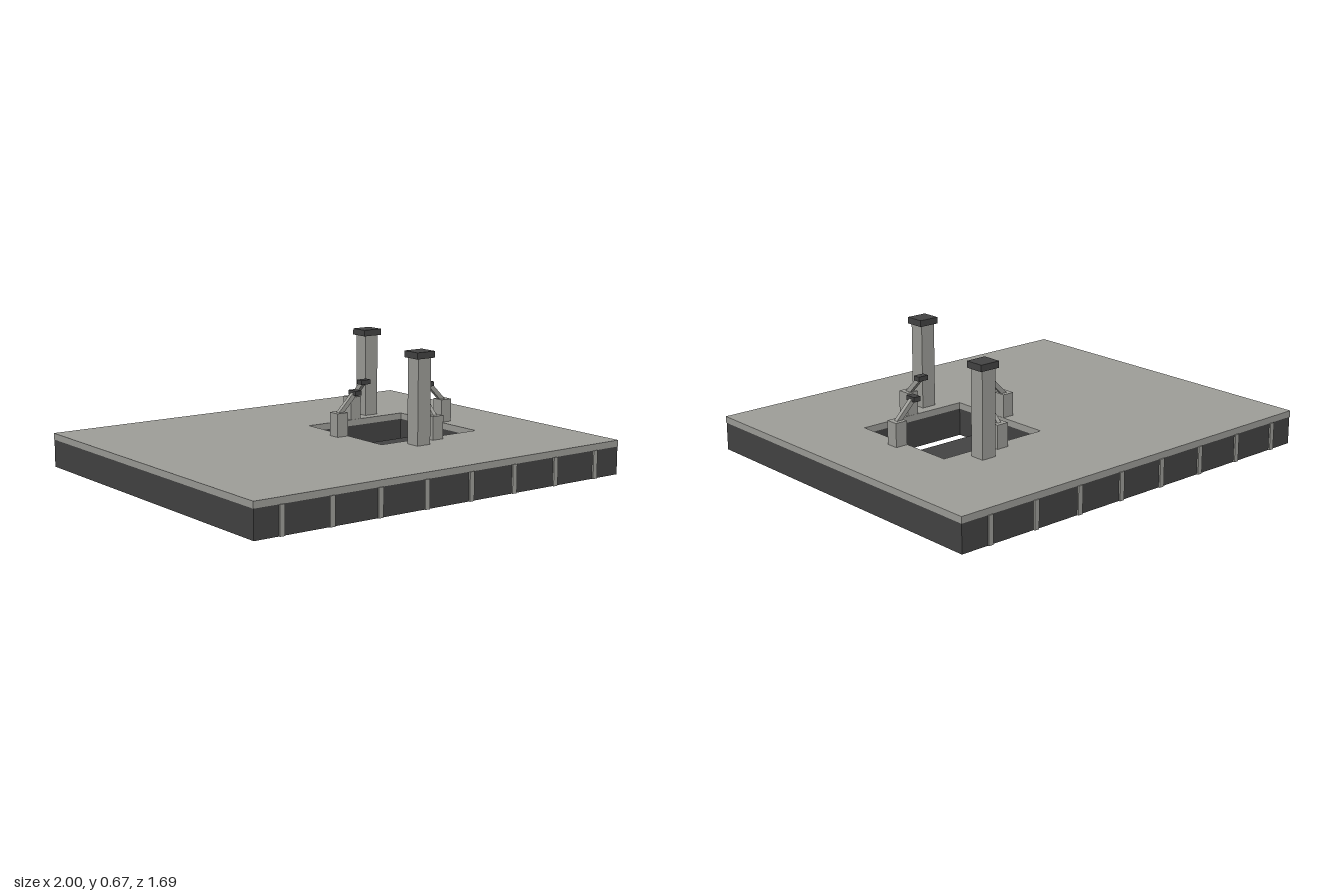
import * as THREE from 'three';

const HOLE_X = 0.345; // centre of the exhaust opening
const DECK_TOP = 0.26;

const light = new THREE.MeshStandardMaterial({ color: 0x9f9f9a, flatShading: true });
const dark = new THREE.MeshStandardMaterial({ color: 0x444444, flatShading: true });

function add(parent, name, geometry, material, x = 0, y = 0, z = 0) {
  const mesh = new THREE.Mesh(geometry, material);
  mesh.name = name;
  mesh.position.set(x, y, z);
  parent.add(mesh);
  return mesh;
}

function box(parent, name, material, [w, h, d], [x, y, z]) {
  return add(parent, name, new THREE.BoxGeometry(w, h, d), material, x, y, z);
}

function rectangle(path, cx, hw, hd) {
  path.moveTo(cx - hw, -hd);
  path.lineTo(cx + hw, -hd);
  path.lineTo(cx + hw, hd);
  path.lineTo(cx - hw, hd);
  path.closePath();
  return path;
}

// Rectangular deck layer pierced by the exhaust opening
function deckLayer(hw, hd, height) {
  const shape = rectangle(new THREE.Shape(), 0, hw, hd);
  shape.holes.push(rectangle(new THREE.Path(), HOLE_X, 0.28, 0.28));
  return new THREE.ExtrudeGeometry(shape, { depth: height, bevelEnabled: false }).rotateX(-Math.PI / 2);
}

// Hold-down clamp, built pointing along -x towards the opening centre
function createClamp(angle) {
  const clamp = new THREE.Group();
  clamp.name = 'holdDownClamp';
  box(clamp, 'clampBase', light, [0.06, 0.11, 0.06], [0.311, DECK_TOP + 0.055, 0]);
  const from = new THREE.Vector2(0.311, 0.362);
  const to = new THREE.Vector2(0.218, 0.455);
  const arm = box(clamp, 'clampArm', light, [from.distanceTo(to), 0.022, 0.02],
    [(from.x + to.x) / 2, (from.y + to.y) / 2, 0]);
  arm.rotation.z = Math.atan2(to.y - from.y, to.x - from.x);
  box(clamp, 'clampPad', dark, [0.035, 0.022, 0.053], [0.218, 0.453, 0]);
  clamp.position.x = HOLE_X;
  clamp.rotation.y = angle;
  return clamp;
}

// Square mast with an overhanging cap
function createMast(x, z) {
  const mast = new THREE.Group();
  mast.name = 'mast';
  box(mast, 'mastColumn', light, [0.073, 0.395, 0.073], [0, 0.1975, 0]);
  box(mast, 'mastCap', dark, [0.1, 0.03, 0.092], [0, 0.41, 0]);
  mast.position.set(x, DECK_TOP, z);
  return mast;
}

export function createModel() {
  const model = new THREE.Group();
  model.name = 'launchPad';

  // Deck: dark body under a light slab
  add(model, 'deckBody', deckLayer(0.998, 0.836, 0.13), dark, 0, 0.1, 0);
  add(model, 'deckSlab', deckLayer(1, 0.838, 0.03), light, 0, 0.23, 0);

  // Ribs along the front and back walls
  for (let i = 0; i < 8; i++) {
    for (const side of [1, -1]) {
      box(model, 'wallRib', light, [0.024, 0.13, 0.02], [-0.867 + i * 0.2455, 0.165, side * 0.8335]);
    }
  }

  // Ridged exhaust deflector below the opening
  const profile = new THREE.Shape();
  profile.moveTo(-0.27, 0.018);
  profile.lineTo(0.27, 0.018);
  profile.lineTo(0, 0.205);
  profile.closePath();
  const wedge = new THREE.ExtrudeGeometry(profile, { depth: 0.547, bevelEnabled: false });
  wedge.translate(0, 0, -0.2735).rotateY(Math.PI / 2);
  add(model, 'exhaustDeflector', wedge, dark, HOLE_X, 0, 0);

  // Four clamps around the opening and two masts at opposite corners
  for (let i = 0; i < 4; i++) model.add(createClamp((i * Math.PI) / 2));
  model.add(createMast(0.21, 0.367), createMast(0.478, -0.367));

  return model;
}
